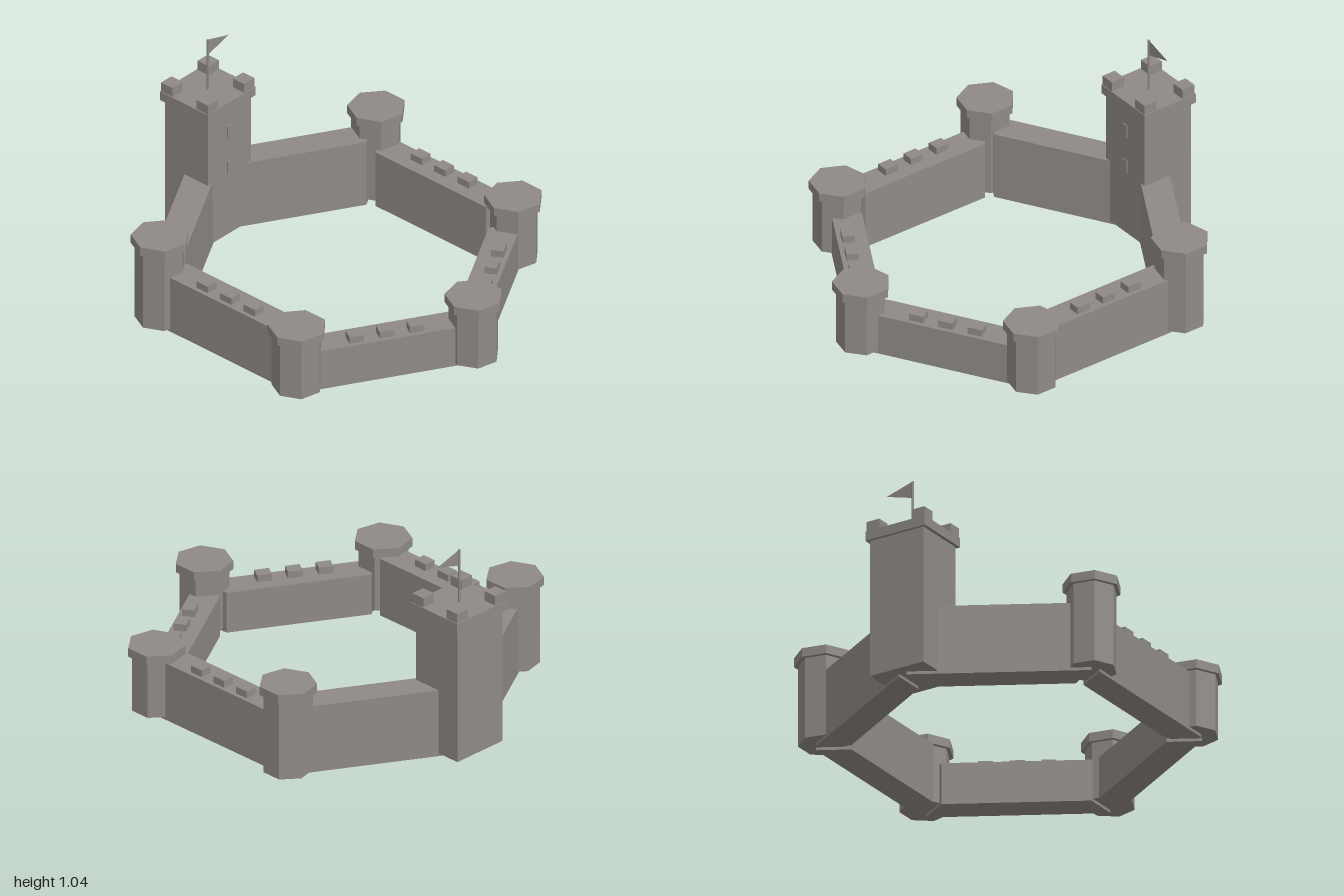
import * as THREE from 'three';

export function createModel() {
  const castle = new THREE.Group();
  castle.name = 'castle';
  const stone = new THREE.MeshStandardMaterial({ color: 0x8f8a85, flatShading: true });
  stone.name = 'stone';
  const cloth = new THREE.MeshStandardMaterial({ color: 0x8f8a85, flatShading: true, side: THREE.DoubleSide });
  cloth.name = 'flagCloth';

  const add = (parent, name, geometry, x, y, z, material = stone) => {
    const mesh = new THREE.Mesh(geometry, material);
    mesh.name = name;
    mesh.position.set(x, y, z);
    parent.add(mesh);
    return mesh;
  };
  // Box placed by the height of its underside
  const box = (parent, name, w, h, d, x, bottom, z) =>
    add(parent, name, new THREE.BoxGeometry(w, h, d), x, bottom + h / 2, z);

  const CX = 0.004, CZ = -0.02; // centre of the hexagonal ring
  const GROUND = 0.015; // towers start just above the wall feet

  // Curtain walls: six mitred segments, with small gaps at the corners
  const inner = 0.655, outer = 0.8, gap = 0.025;
  const halfIn = inner * Math.tan(Math.PI / 6) - gap;
  const halfOut = outer * Math.tan(Math.PI / 6) - gap;
  const plan = new THREE.Shape([
    new THREE.Vector2(-halfOut, -outer), new THREE.Vector2(halfOut, -outer),
    new THREE.Vector2(halfIn, -inner), new THREE.Vector2(-halfIn, -inner),
  ]);
  const addWall = (name, degrees, height, merlons) => {
    const wall = new THREE.Group();
    wall.name = name;
    wall.position.set(CX, 0, CZ);
    wall.rotation.y = THREE.MathUtils.degToRad(degrees);
    const body = new THREE.ExtrudeGeometry(plan, { depth: height, bevelEnabled: false });
    body.rotateX(-Math.PI / 2);
    add(wall, name + 'Body', body, 0, 0, 0);
    if (merlons) {
      for (const x of [-0.15, 0, 0.15]) box(wall, 'wallMerlon', 0.072, 0.036, 0.06, x, height, 0.749);
    }
    castle.add(wall);
  };
  for (const [side, s] of [['left', 1], ['right', -1]]) {
    addWall(side + 'FrontWall', 30 * s, 0.213, true);
    addWall(side + 'SideWall', 90 * s, 0.302, true);
    addWall(side + 'BackWall', 150 * s, 0.352, false);
  }

  // Seven-sided corner towers with a wider cap
  const prism = (r, h) => new THREE.CylinderGeometry(r, r, h, 7, 1, false, -Math.PI / 2);
  const addTower = (name, degrees, height) => {
    const a = THREE.MathUtils.degToRad(degrees);
    const tower = new THREE.Group();
    tower.name = name;
    tower.position.set(CX + 0.875 * Math.sin(a), 0, CZ + 0.875 * Math.cos(a));
    const cap = 0.045, shaft = height - cap - GROUND;
    add(tower, 'towerShaft', prism(0.121, shaft), 0, GROUND + shaft / 2, 0);
    add(tower, 'towerCap', prism(0.14, cap), 0, height - cap / 2, 0);
    castle.add(tower);
  };
  addTower('frontTower', 0, 0.352);
  for (const [side, s] of [['left', 1], ['right', -1]]) {
    addTower(side + 'FrontTower', 60 * s, 0.352);
    addTower(side + 'BackTower', 120 * s, 0.475);
  }

  // Square keep at the back corner
  const keep = new THREE.Group();
  keep.name = 'keep';
  keep.position.set(CX, 0, -0.845);
  castle.add(keep);
  box(keep, 'keepBody', 0.3, 0.717 - GROUND, 0.275, 0, GROUND, 0);
  box(keep, 'keepCap', 0.335, 0.048, 0.306, 0, 0.717, 0);
  for (const x of [-0.127, 0.127]) {
    for (const z of [-0.113, 0.113]) box(keep, 'keepMerlon', 0.072, 0.05, 0.072, x, 0.765, z);
  }
  // Narrow windows facing the courtyard
  for (const y of [0.355, 0.553]) box(keep, 'window', 0.03, 0.07, 0.009, 0, y, 0.1385);

  // Flagpole and pennant
  add(keep, 'flagpole', new THREE.CylinderGeometry(0.006, 0.006, 0.28, 6), 0, 0.903, 0);
  const pennant = new THREE.Shape([
    new THREE.Vector2(0, 0.957), new THREE.Vector2(0.147, 1.0), new THREE.Vector2(0, 1.043),
  ]);
  add(keep, 'flag', new THREE.ShapeGeometry(pennant), 0, 0, 0, cloth);

  return castle;
}
